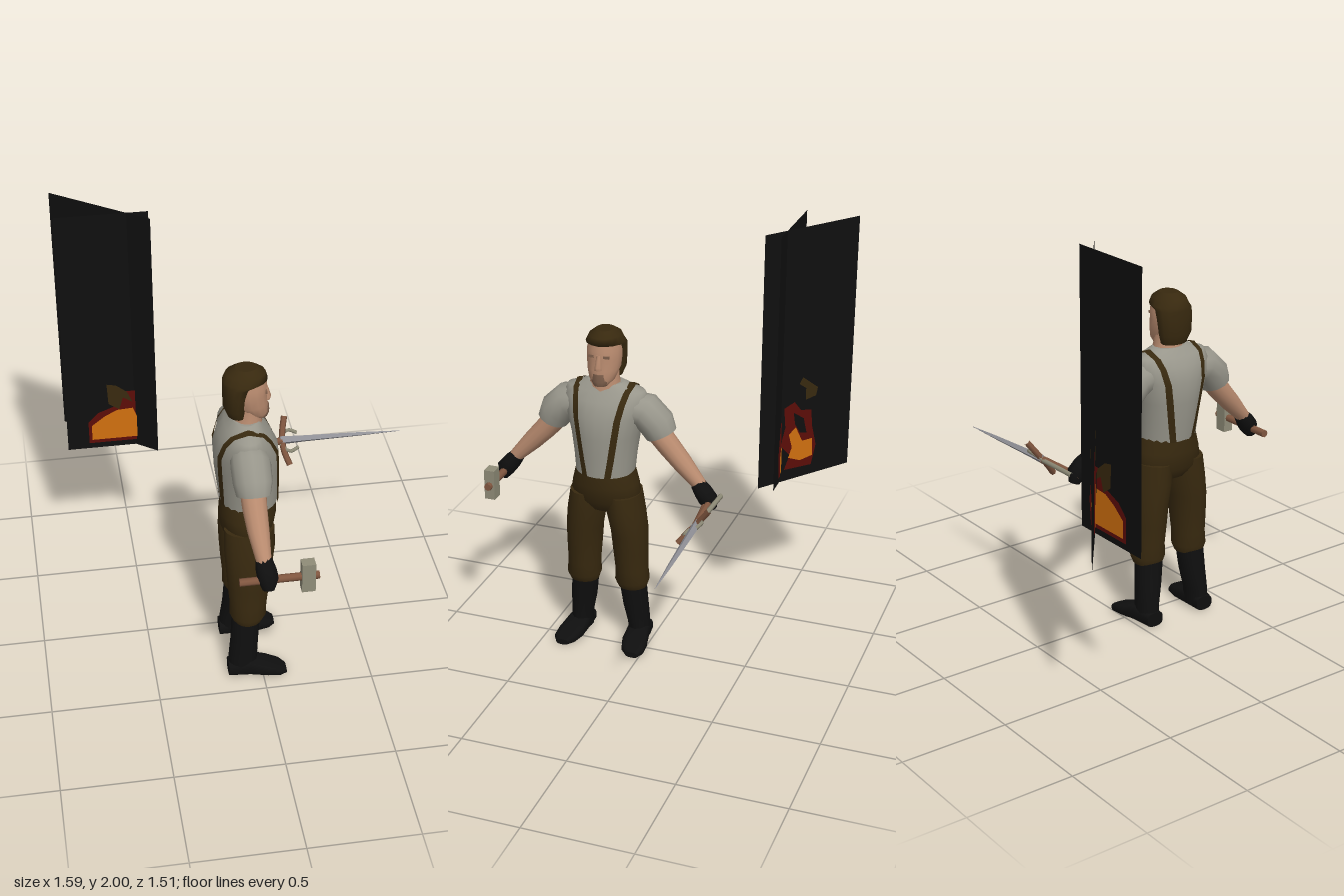
import * as THREE from 'three';

const V = (x, y, z) => new THREE.Vector3(x, y, z);
const mat = (name, color, side = THREE.FrontSide) => {
  const m = new THREE.MeshStandardMaterial({ color, side });
  m.name = name;
  return m;
};
const MID = 0.21; // z of the body's centre line

// Skin of a closed body through elliptical rings [centre, u, v]; p < 1 squares them off
function loft(rings, n = 16, p = 1, flat = false) {
  const pos = [], idx = [];
  const pw = (t) => Math.sign(t) * Math.abs(t) ** p;
  const point = ([c, u, v], i) => {
    const a = (i / n) * Math.PI * 2;
    return c.clone().addScaledVector(u, pw(Math.cos(a))).addScaledVector(v, pw(Math.sin(a))).toArray();
  };
  const last = rings[rings.length - 1];
  const d = last[0].clone().sub(rings[0][0]);
  const flip = rings[0][1].clone().cross(rings[0][2]).dot(d) < 0;
  const tri = (a, b, c) => (flip ? idx.push(a, c, b) : idx.push(a, b, c));
  rings.forEach((r, k) => {
    for (let i = 0; i < n; i++) {
      pos.push(...point(r, i));
      if (k === rings.length - 1) continue;
      const a = k * n + i, b = k * n + ((i + 1) % n);
      tri(a, b, a + n);
      tri(b, b + n, a + n);
    }
  });
  [rings[0], last].forEach((r, e) => {
    const s = pos.length / 3;
    pos.push(...r[0].toArray());
    for (let i = 0; i < n; i++) pos.push(...point(r, i));
    for (let i = 0; i < n; i++) {
      const a = s + 1 + i, b = s + 1 + ((i + 1) % n);
      if (e) tri(s, a, b); else tri(s, b, a);
    }
  });
  let g = new THREE.BufferGeometry();
  g.setAttribute('position', new THREE.Float32BufferAttribute(pos, 3));
  g.setIndex(idx);
  if (flat) g = g.toNonIndexed();
  g.computeVertexNormals();
  return g;
}

// Level rings [x, y, rx, rz] around the line z = cz
const level = (list, side = 0) => list.map(([x, y, rx, rz, off = 0]) =>
  [V(x, y, MID + side * off), V(rx, 0, 0), V(0, 0, rz)]);

// Rings across an arm: [sideways offset, y, radius, x]
const limb = (list, s) => list.map(([o, y, r, x], k) => {
  const a = list[Math.max(k - 1, 0)], b = list[Math.min(k + 1, list.length - 1)];
  const t = V(0, b[1] - a[1], s * (b[0] - a[0])).normalize();
  return [V(x, y, MID + s * o), V(r * 1.05, 0, 0), t.cross(V(1, 0, 0)).multiplyScalar(r)];
});

// Rings along x: [x, y, z, half height, half width]
const along = (list) => list.map(([x, y, z, h, w]) => [V(x, y, z), V(0, h, 0), V(0, 0, w)]);

const TORSO = [[-0.04, 0.91, 0.13, 0.14], [-0.045, 1.0, 0.138, 0.148], [-0.05, 1.1, 0.145, 0.163],
  [-0.055, 1.2, 0.145, 0.19], [-0.06, 1.27, 0.115, 0.205], [-0.06, 1.31, 0.085, 0.185], [-0.055, 1.345, 0.06, 0.085]];

// Ribbon lying on the torso, from front waist over the shoulder to the back waist
function strapGeometry(s) {
  const offs = [0.055, 0.07, 0.085, 0.1, 0.112, 0.122], pos = [], idx = [];
  const edge = (k, dir, w) => {
    const [cx, y, rx, rz] = TORSO[k], o = offs[k] + w;
    pos.push(cx + dir * (rx * Math.sqrt(1 - (o / rz) ** 2) + 0.006), y + (k > 4 ? 0.004 : 0), MID + s * o);
  };
  const row = (k, dir) => { edge(k, dir, -0.014); edge(k, dir, 0.014); };
  for (let k = 0; k < 6; k++) row(k, 1);
  pos.push(-0.06, 1.344, MID + s * 0.112, -0.06, 1.336, MID + s * 0.142);
  for (let k = 5; k >= 0; k--) row(k, -1);
  for (let i = 0; i < 12; i++) {
    const a = i * 2;
    if (s > 0) idx.push(a, a + 2, a + 1, a + 1, a + 2, a + 3);
    else idx.push(a, a + 1, a + 2, a + 1, a + 3, a + 2);
  }
  const g = new THREE.BufferGeometry();
  g.setAttribute('position', new THREE.Float32BufferAttribute(pos, 3));
  g.setIndex(idx);
  g.computeVertexNormals();
  return g;
}

export function createModel() {
  const D = THREE.DoubleSide;
  const black = mat('black', 0x0f0f0f, D), shirt = mat('shirt grey', 0x98968b), brown = mat('dark brown', 0x38290f, D);
  const skin = mat('skin', 0xb98b6f), shade = mat('beard brown', 0x80614d), steel = mat('steel', 0x8f8f95);
  const wood = mat('wood', 0x80563f), stone = mat('pale metal', 0x8f8c78);
  const red = mat('flame red', 0x5c0d08, D), orange = mat('flame orange', 0xd0700f, D);

  const model = new THREE.Group();
  const add = (name, geo, m, parent = model) => {
    const mesh = new THREE.Mesh(geo, m);
    mesh.name = name;
    parent.add(mesh);
    return mesh;
  };
  const box = (name, w, h, d, x, y, z, m) => {
    const b = add(name, new THREE.BoxGeometry(w, h, d), m);
    b.position.set(x, y, z);
    return b;
  };

  // Trunk
  add('shirt', loft(level(TORSO), 24), shirt);
  add('hips', loft(level([[-0.043, 0.93, 0.126, 0.137], [-0.045, 0.85, 0.13, 0.158],
    [-0.05, 0.77, 0.12, 0.172], [-0.05, 0.715, 0.08, 0.12]]), 20), brown);
  add('neck', loft(level([[-0.05, 1.3, 0.075, 0.085], [-0.045, 1.36, 0.06, 0.068], [-0.045, 1.42, 0.06, 0.065]]), 12), skin);

  // Head
  add('face', loft(level([[0.005, 1.348, 0.035, 0.035], [-0.012, 1.375, 0.06, 0.06], [-0.035, 1.42, 0.08, 0.076],
    [-0.045, 1.47, 0.085, 0.08], [-0.048, 1.51, 0.09, 0.08], [-0.055, 1.57, 0.08, 0.068]]), 16), skin);
  add('hair', loft(level([[-0.09, 1.365, 0.045, 0.065], [-0.1, 1.41, 0.052, 0.083], [-0.095, 1.48, 0.06, 0.089],
    [-0.085, 1.525, 0.07, 0.09], [-0.055, 1.54, 0.099, 0.089], [-0.053, 1.572, 0.088, 0.074], [-0.05, 1.597, 0.048, 0.042]]), 16), brown);
  add('beard', loft(level([[0.012, 1.345, 0.032, 0.032], [0.007, 1.37, 0.046, 0.045], [0.004, 1.405, 0.046, 0.045]]), 12), shade);
  add('nose', loft(level([[0.035, 1.425, 0.022, 0.018], [0.035, 1.44, 0.026, 0.018], [0.034, 1.495, 0.01, 0.01]]), 8), skin);
  for (const s of [1, -1]) box('eye', 0.008, 0.012, 0.034, 0.032, 1.487, MID + s * 0.032, shade);

  for (const s of [1, -1]) {
    add('suspender', strapGeometry(s), brown);
    // Arm
    add('sleeve', loft(limb([[0.11, 1.225, 0.075, -0.06], [0.19, 1.215, 0.085, -0.06],
      [0.245, 1.16, 0.083, -0.06], [0.268, 1.11, 0.072, -0.06]], s), 12), shirt);
    add('arm', loft(limb([[0.2, 1.18, 0.058, -0.06], [0.3, 1.06, 0.052, -0.06],
      [0.37, 0.985, 0.046, -0.055], [0.47, 0.88, 0.03, -0.045]], s), 12), skin);
    add('glove', loft(limb([[0.445, 0.9, 0.034, -0.045], [0.475, 0.865, 0.043, -0.04],
      [0.503, 0.83, 0.045, -0.035], [0.52, 0.785, 0.025, -0.035]], s), 10), black);
    // Leg
    add('trouserLeg', loft(level([[-0.05, 0.8, 0.115, 0.082, 0.088], [-0.05, 0.7, 0.117, 0.09, 0.097],
      [-0.055, 0.6, 0.107, 0.086, 0.112], [-0.058, 0.5, 0.097, 0.082, 0.116], [-0.06, 0.4, 0.086, 0.077, 0.12],
      [-0.062, 0.335, 0.085, 0.082, 0.122], [-0.065, 0.3, 0.068, 0.07, 0.122]], s), 16), brown);
    add('bootShaft', loft(level([[-0.07, 0.33, 0.068, 0.066, 0.12], [-0.08, 0.2, 0.066, 0.062, 0.132],
      [-0.09, 0.1, 0.068, 0.052, 0.145], [-0.092, 0.02, 0.068, 0.052, 0.148]], s), 14), black);
    add('bootFoot', loft(along([[-0.16, 0.035, 0.148, 0.035, 0.045], [-0.06, 0.045, 0.152, 0.045, 0.055],
      [0.02, 0.032, 0.162, 0.032, 0.063], [0.08, 0.022, 0.172, 0.022, 0.055], [0.11, 0.014, 0.177, 0.014, 0.03]]
      .map(([x, y, o, h, w]) => [x, y, MID + s * o, h, w])), 14, 0.7), black);
  }

  // Hammer in the right-hand glove
  add('hammerHandle', loft(along([[-0.16, 0.825, 0.71, 0.018, 0.018], [0.19, 0.825, 0.71, 0.018, 0.018]]), 8), wood);
  box('hammerHead', 0.06, 0.145, 0.05, 0.14, 0.828, 0.71, stone);

  // Sword: blade, slanted guard, prongs and the bars of the grip
  add('blade', loft(along([[0.2, 0.823, -0.317, 0.024, 0.02], [0.32, 0.82, -0.32, 0.018, 0.017],
    [0.6, 0.812, -0.326, 0.01, 0.01], [0.79, 0.806, -0.33, 0.001, 0.001]]), 4, 1, true), steel);
  const guardPath = new THREE.CatmullRomCurve3([V(0.235, 0.73, -0.24), V(0.215, 0.78, -0.28),
    V(0.21, 0.82, -0.315), V(0.215, 0.86, -0.345), V(0.23, 0.915, -0.385)]);
  add('guard', new THREE.TubeGeometry(guardPath, 12, 0.015, 6), wood);
  for (const s of [1, -1]) {
    const path = new THREE.CatmullRomCurve3([V(0.19, 0.82, -0.315), V(0.24, 0.82 - s * 0.035, -0.315 + s * 0.04),
      V(0.285, 0.82 - s * 0.025, -0.315 + s * 0.025)]);
    add('prong', new THREE.TubeGeometry(path, 6, 0.009, 5), stone);
    const bar = new THREE.LineCurve3(V(-0.07, 0.825 + s * 0.015, -0.31 - s * 0.033), V(0.21, 0.82, -0.315 - s * 0.004));
    add('gripBar', new THREE.TubeGeometry(bar, 1, 0.012, 6), s > 0 ? stone : wood);
  }
  add('grip', loft(along([[-0.07, 0.825, -0.3, 0.014, 0.014], [0.21, 0.82, -0.315, 0.018, 0.018]]), 8), wood);

  // Two dark upright panels crossing each other, each with a painted fire on both faces
  const panel = (name, width, z, turn, paint) => {
    const g = new THREE.Group();
    g.name = name;
    g.position.set(-0.5875, 0, z);
    g.rotation.y = turn;
    model.add(g);
    add('panel', new THREE.PlaneGeometry(width, 1.25), black, g).position.y = 1.375;
    paint.forEach(([label, m, pts], k) => {
      const geo = new THREE.ShapeGeometry(new THREE.Shape(pts.map(([x, y]) => new THREE.Vector2(x, y))));
      for (const s of [1, -1]) add(label, geo, m, g).position.z = s * 0.003 * (k + 1);
    });
  };
  panel('longPanel', 0.425, -0.505, 0, [
    ['redFlame', red, [[-0.11, 0.78], [0.14, 0.78], [0.15, 0.9], [0.125, 1.06], [0.05, 1.06], [0.02, 0.98],
      [-0.06, 0.95], [-0.11, 0.9]]],
    ['orangeFlame', orange, [[-0.095, 0.8], [0.125, 0.8], [0.135, 0.88], [0.105, 0.965], [0.03, 0.96],
      [-0.03, 0.93], [-0.095, 0.88]]],
    ['smoke', brown, [[-0.01, 1.0], [0.04, 0.965], [0.06, 1.03], [0.105, 1.0], [0.08, 1.06], [0.03, 1.1], [-0.015, 1.11]]],
  ]);
  panel('diagonalPanel', 0.535, -0.5925, -Math.atan2(0.325, 0.425), [
    ['redFlame', red, [[0.12, 0.81], [-0.04, 0.8], [-0.065, 0.9], [-0.04, 1.0], [-0.03, 1.09], [0.03, 1.1],
      [0.07, 1.15], [0.13, 1.13], [0.12, 1.03], [0.145, 0.94], [0.09, 0.88]]],
    ['orangeFlame', orange, [[0.1, 0.87], [0.03, 0.84], [-0.045, 0.85], [-0.04, 0.94], [0.02, 0.94], [0.06, 1.02], [0.1, 0.99], [0.08, 0.92]]],
    ['smoke', brown, [[-0.05, 1.16], [0.01, 1.15], [0.01, 1.21], [0.05, 1.24], [0.03, 1.27], [-0.02, 1.23], [-0.06, 1.2]]],
    ['darkCore', black, [[0.08, 1.1], [0.02, 1.06], [0.0, 0.98], [0.04, 0.99], [0.07, 1.04]]],
  ]);

  return model;
}
